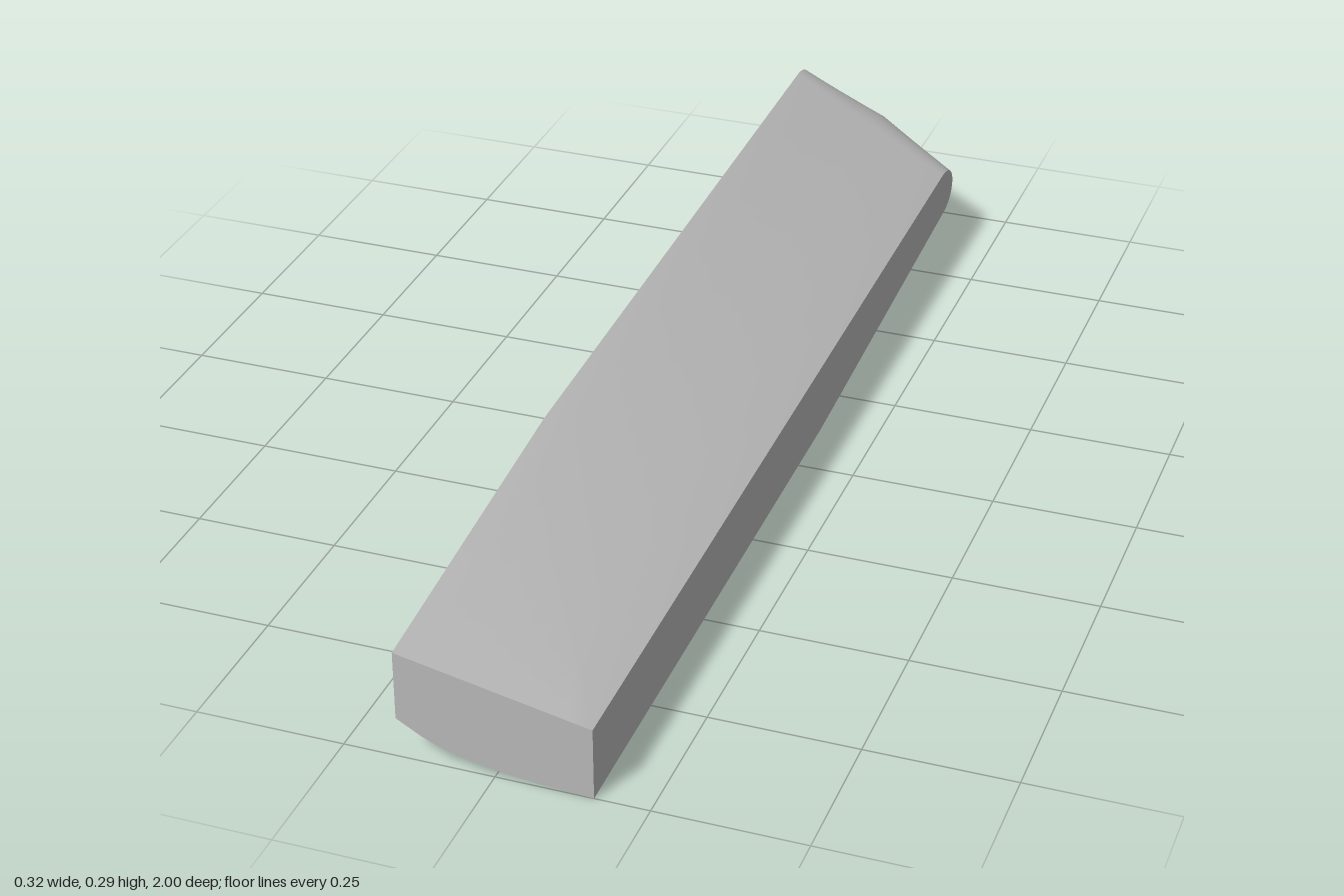
import * as THREE from 'three';
import { toCreasedNormals } from 'three/addons/utils/BufferGeometryUtils.js';

const HALF = 0.16;
const ARC = 8; // segments per half of the rounded tail
const lerp = THREE.MathUtils.lerp;

// Underside curve at the front end: [x, y]
const FRONT_BOTTOM = [
  [-0.16, 0.07], [-0.12, 0.047], [-0.09, 0.034], [-0.03, 0.018],
  [0, 0.013], [0.04, 0.008], [0.08, 0.004], [0.12, 0.002], [0.16, 0],
];

// Closed lengthwise outline at one x: front edge, top, rounded tail, underside
function outline(x, frontBottom) {
  const t = (x + HALF) / (2 * HALF);
  const sag = lerp(0.07, 0, t) - frontBottom;
  const tipZ = x <= 0 ? -1 : lerp(-1, -0.92, t * 2 - 1);
  const topZ = lerp(-0.93, -0.85, t), topY = lerp(0.288, 0.16, t);
  const lowZ = tipZ + 0.06, lowY = lerp(0.2, 0.073, t) - sag * 0.85;
  const tipY = lerp(lowY, topY, 0.47);

  const points = [
    [1, frontBottom],
    [1, lerp(0.19, 0.125, t)],
    [lerp(0.39, 1, t), lerp(0.253, 0.125, t)],
  ];
  for (let k = 0; k <= 2 * ARC; k++) {
    const a = (k / (2 * ARC)) * Math.PI;
    const upper = k <= ARC;
    points.push([
      lerp(upper ? topZ : lowZ, tipZ, Math.sin(a)),
      lerp(tipY, upper ? topY : lowY, Math.abs(Math.cos(a))),
    ]);
  }
  points.push([lerp(-0.28, -0.1, t), lerp(0.13, 0.02, t) - sag * 0.95]);
  return points.map(([z, y]) => [x, y, z]);
}

function barGeometry() {
  const loops = FRONT_BOTTOM.map(([x, y]) => outline(x, y));
  const n = loops[0].length, last = loops.length - 1;
  const index = [];
  // Skin between neighbouring outlines
  for (let i = 0; i < last; i++) {
    for (let j = 0; j < n; j++) {
      const k = (j + 1) % n;
      const a = i * n + j, b = i * n + k, c = a + n, d = b + n;
      index.push(a, c, b, b, c, d);
    }
  }
  // Flat side walls
  for (let j = 1; j < n - 1; j++) {
    index.push(0, j, j + 1);
    index.push(last * n, last * n + j + 1, last * n + j);
  }
  const geometry = new THREE.BufferGeometry();
  geometry.setAttribute('position', new THREE.Float32BufferAttribute(loops.flat(2), 3));
  geometry.setIndex(index);
  return toCreasedNormals(geometry, 0.45);
}

export function createModel() {
  const grey = new THREE.MeshStandardMaterial({ color: 0xb8b8b8 });
  grey.name = 'grey';
  const bar = new THREE.Mesh(barGeometry(), grey);
  bar.name = 'taperedBar';
  const model = new THREE.Group();
  model.name = 'model';
  model.add(bar);
  return model;
}
